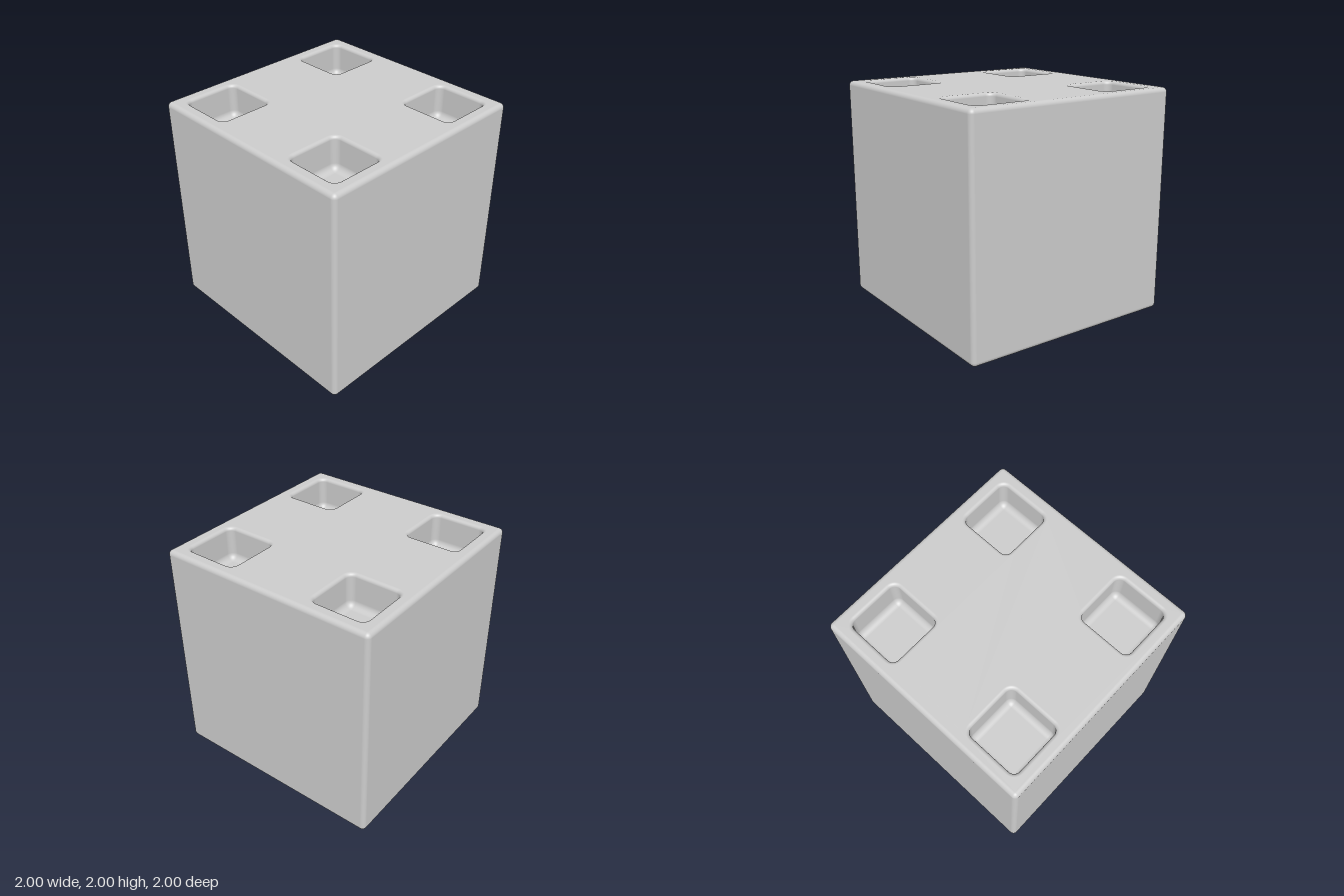
import * as THREE from 'three';

const SEG = 8;          // segments per rounded corner
const EDGE = 0.04;      // outer edge radius
const CORE = 1 - EDGE;  // half size of the flat faces
const POCKET = 0.635;   // distance of pocket centres from the middle
const FLOOR = 0.185;    // half size of the flat pocket floor
const FILLET = 0.06;    // radius between pocket floor and wall
const RIM = 0.03;       // radius of the pocket lip
const DEPTH = 0.3;

// Points of a rounded square: corner centres at +-c, corner radius r
function ring(c, r) {
  const points = [];
  for (let q = 0; q < 4; q++) {
    const sx = q === 0 || q === 3 ? 1 : -1;
    const sz = q < 2 ? 1 : -1;
    for (let i = 0; i <= SEG; i++) {
      const t = (q + i / SEG) * Math.PI / 2;
      const dx = Math.cos(t), dz = Math.sin(t);
      points.push({ x: sx * c + dx * r, z: sz * c + dz * r, dx, dz });
    }
  }
  return points;
}

// Skin over rounded-square rings; each row is [c, r, y, outward normal, upward normal]
function loft(rows) {
  const pos = [], nor = [], index = [], n = 4 * (SEG + 1);
  rows.forEach(([c, r, y, nr, ny], j) => {
    ring(c, r).forEach((p, i) => {
      pos.push(p.x, y, p.z);
      nor.push(p.dx * nr, ny, p.dz * nr);
      if (j === rows.length - 1) return;
      const a = j * n + i, b = j * n + (i + 1) % n;
      index.push(a, a + n, b, b, a + n, b + n);
    });
  });
  const g = new THREE.BufferGeometry();
  g.setAttribute('position', new THREE.Float32BufferAttribute(pos, 3));
  g.setAttribute('normal', new THREE.Float32BufferAttribute(nor, 3));
  g.setIndex(index);
  return g;
}

// Rows of a quarter-round, made by a function of the cosine and sine
function quarter(row) {
  return Array.from({ length: SEG + 1 }, (_, i) => {
    const t = i / SEG * Math.PI / 2;
    return row(Math.cos(t), Math.sin(t));
  });
}

export function createModel() {
  const model = new THREE.Group();
  const material = new THREE.MeshStandardMaterial({ color: 0xcccccc });
  const add = (geometry, name) => {
    const mesh = new THREE.Mesh(geometry, material);
    mesh.name = name;
    model.add(mesh);
    return mesh;
  };

  // Bottom, sides and rounded outer edges
  add(loft([
    [0, 0, 0, 0, -1],
    ...quarter((c, s) => [CORE, EDGE * s, EDGE * (1 - c), s, -c]),
    ...quarter((c, s) => [CORE, EDGE * c, 2 - EDGE * (1 - s), c, s]),
  ]), 'cubeBody');

  // Pocket: lip, straight wall, fillet and flat floor
  const pocket = loft([
    ...quarter((c, s) => [FLOOR, FILLET + RIM * (1 - s), 2 - RIM * (1 - c), -s, c]),
    ...quarter((c, s) => [FLOOR, FILLET * c, 2 - DEPTH + FILLET * (1 - s), -c, s]),
    [0, 0, 2 - DEPTH, 0, 1],
  ]);

  // Top face with four openings
  const top = new THREE.Shape([[-1, -1], [1, -1], [1, 1], [-1, 1]]
    .map(([x, y]) => new THREE.Vector2(x * CORE, y * CORE)));
  for (const x of [-POCKET, POCKET]) {
    for (const z of [-POCKET, POCKET]) {
      add(pocket, 'pocket').position.set(x, 0, z);
      top.holes.push(new THREE.Path(ring(FLOOR, FILLET + RIM)
        .map((p) => new THREE.Vector2(x + p.x, -z - p.z))));
    }
  }
  add(new THREE.ShapeGeometry(top).rotateX(-Math.PI / 2).translate(0, 2, 0), 'topFace');
  return model;
}
